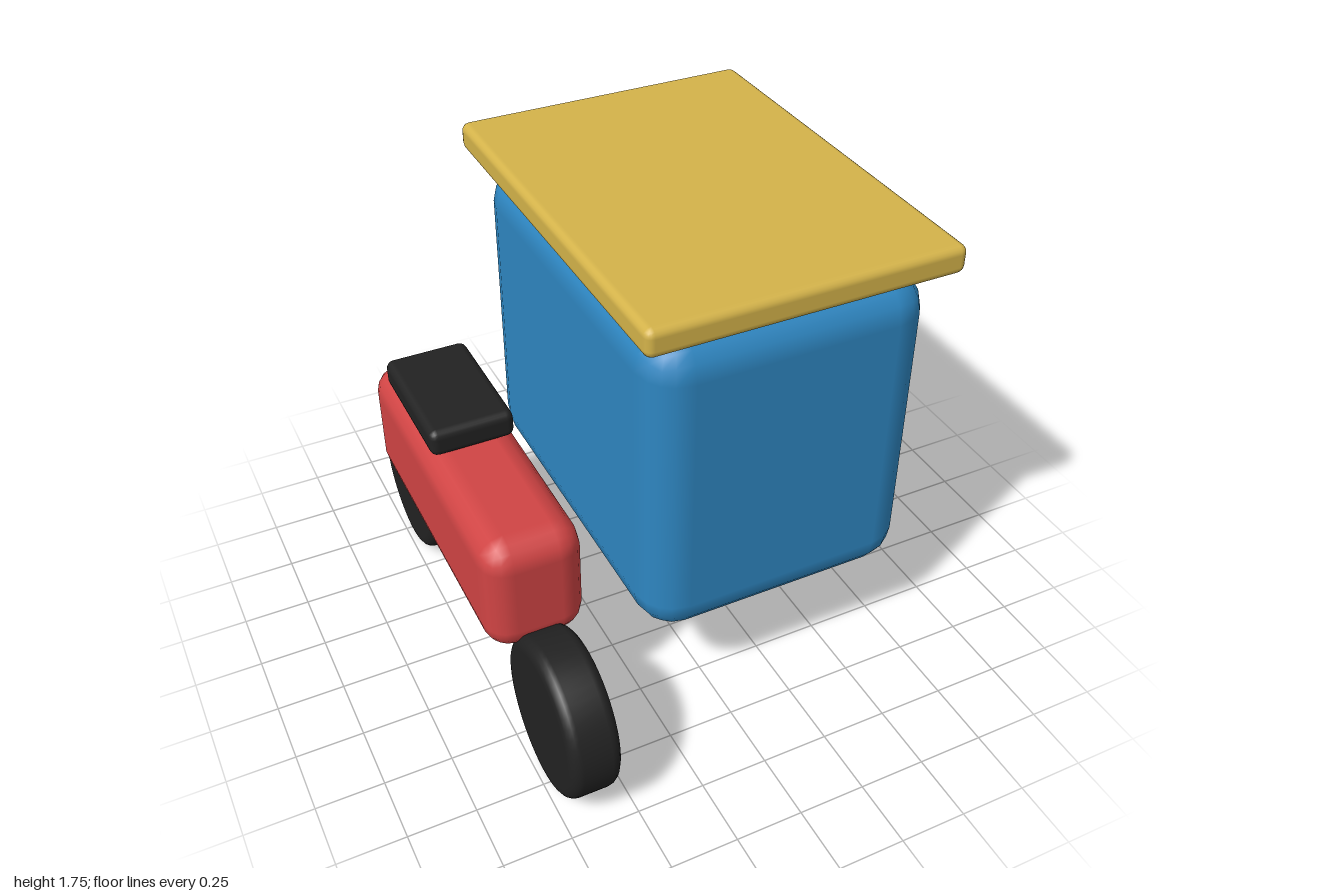
import * as THREE from 'three';
import { RoundedBoxGeometry } from 'three/addons/geometries/RoundedBoxGeometry.js';

const material = (name, color) => {
  const m = new THREE.MeshStandardMaterial({ color });
  m.name = name;
  return m;
};

export function createModel() {
  const group = new THREE.Group();
  group.name = 'sidecarRickshaw';
  const blue = material('cabinBlue', 0x2e86c1);
  const red = material('bodyRed', 0xd04444);
  const yellow = material('roofYellow', 0xd4b34a);
  const black = material('rubberBlack', 0x222222);

  const add = (name, geometry, mat, x, y, z) => {
    const mesh = new THREE.Mesh(geometry, mat);
    mesh.name = name;
    mesh.position.set(x, y, z);
    group.add(mesh);
  };

  // Passenger cabin with its roof and side window
  add('cabin', new RoundedBoxGeometry(1.05, 1.25, 1.47, 2, 0.15), blue, 0.246, 0.996, -0.077);
  add('roof', new RoundedBoxGeometry(1.15, 0.105, 1.565, 2, 0.03), yellow, 0.246, 1.698, -0.077);
  add('window', new THREE.BoxGeometry(0.05, 0.525, 0.95), black, 0.778, 1.207, -0.077);

  // Motorcycle body and saddle
  add('bikeBody', new RoundedBoxGeometry(0.365, 0.465, 1.25, 2, 0.1), red, -0.643, 0.683, -0.082);
  add('seat', new RoundedBoxGeometry(0.315, 0.105, 0.52, 2, 0.03), black, -0.643, 0.967, -0.29);

  // Wheel: lathed disc with rounded shoulders, axle along x
  const R = 0.292, H = 0.0925, r = 0.04;
  const profile = [new THREE.Vector2(0, -H), new THREE.Vector2(R - r - 0.01, -H)];
  for (const side of [-1, 1]) {
    for (let i = 0; i <= 4; i++) {
      const a = (side < 0 ? -Math.PI / 2 : 0) + (i / 4) * (Math.PI / 2);
      profile.push(new THREE.Vector2(R - r + r * Math.cos(a), side * (H - r) + r * Math.sin(a)));
    }
  }
  profile.push(new THREE.Vector2(R - r - 0.01, H), new THREE.Vector2(0, H));
  const wheel = new THREE.LatheGeometry(profile, 48).rotateZ(Math.PI / 2);

  add('frontWheel', wheel, black, -0.643, R, 0.708);
  add('rearWheel', wheel, black, -0.643, R, -0.708);
  add('cabinWheel', wheel, black, 0.61, R, -0.077);

  return group;
}
